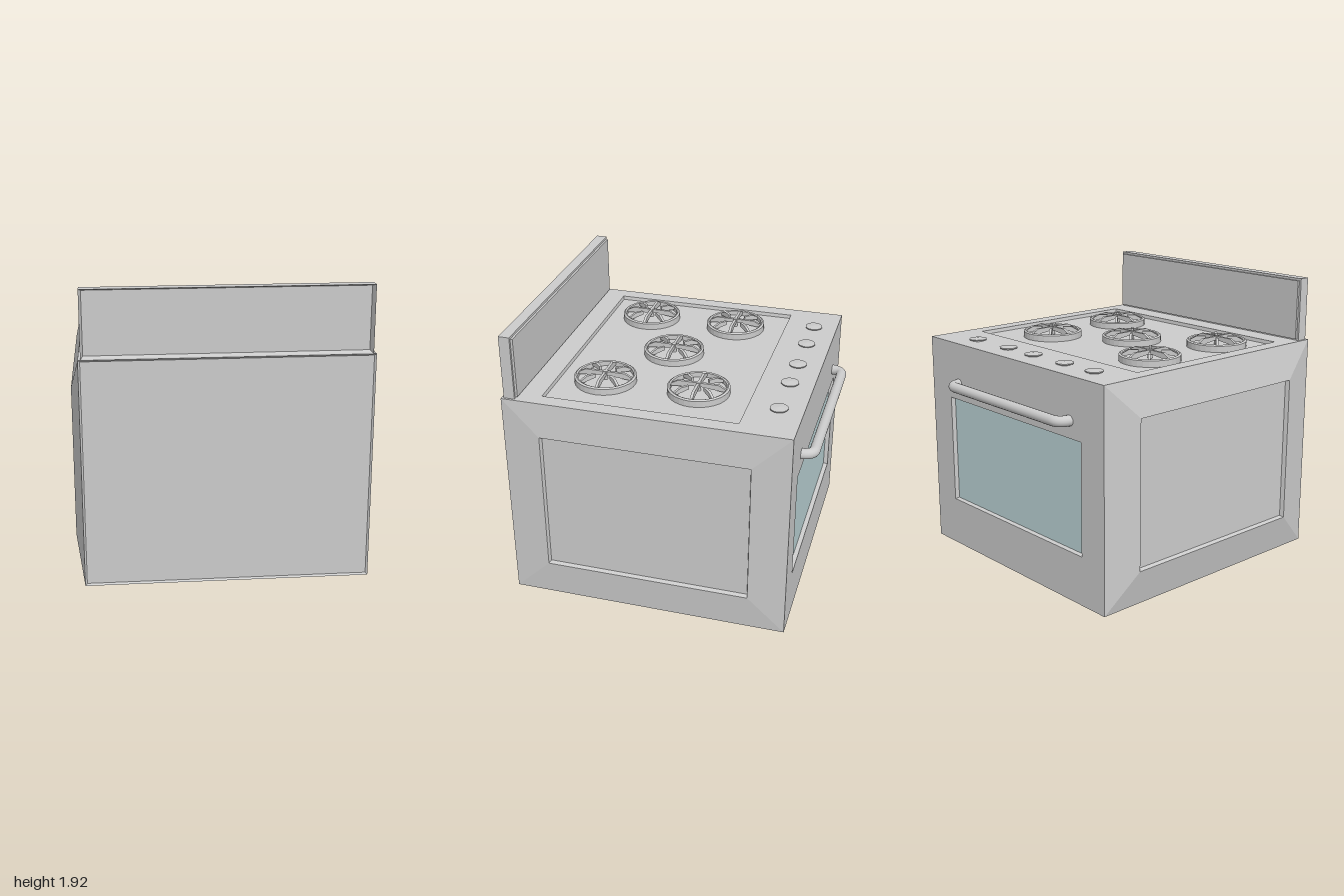
import * as THREE from 'three';
import { mergeGeometries } from 'three/addons/utils/BufferGeometryUtils.js';

const grey = new THREE.MeshStandardMaterial({ color: 0xcccccc });
const flat = new THREE.MeshStandardMaterial({ color: 0xcccccc, flatShading: true });
const glass = new THREE.MeshStandardMaterial({ color: 0xbcd4d6 });

// Body limits
const X0 = -0.9, X1 = 0.93, H = 1.49, Z0 = -0.89, Z1 = 1;

// Maps (across, up, outward) to xyz for each side, as seen from outside
const sides = {
  left: (a, b, d) => [d, b, -a],
  right: (a, b, d) => [-d, b, a],
  front: (a, b, d) => [-a, b, -d],
  back: (a, b, d) => [a, b, d],
  top: (a, b, d) => [a, d, -b],
  bottom: (a, b, d) => [a, -d, b],
};

// Joins rectangles [a0, b0, a1, b1, depth] in order and caps the last one
function loft(map, rects, cap = true) {
  const loops = rects.map(([a0, b0, a1, b1, d]) =>
    [[a0, b0], [a1, b0], [a1, b1], [a0, b1]].map(([a, b]) => map(a, b, d)));
  const pos = [];
  const quad = (p, q, r, s) => pos.push(...p, ...q, ...r, ...p, ...r, ...s);
  for (let k = 0; k + 1 < loops.length; k++) {
    for (let i = 0; i < 4; i++) {
      const j = (i + 1) % 4;
      quad(loops[k][i], loops[k][j], loops[k + 1][j], loops[k + 1][i]);
    }
  }
  if (cap) quad(...loops[loops.length - 1]);
  const g = new THREE.BufferGeometry();
  g.setAttribute('position', new THREE.Float32BufferAttribute(pos, 3));
  g.computeVertexNormals();
  return g;
}

const inset = ([a0, b0, a1, b1], m, d) => [a0 + m, b0 + m, a1 - m, b1 - m, d];

function add(parent, name, geometry, material = grey) {
  const mesh = new THREE.Mesh(geometry, material);
  mesh.name = name;
  parent.add(mesh);
  return mesh;
}

function makeBody(group) {
  const sidePanel = (a0, a1, d) => {
    const r = [a0, 0.25, a1, 1.25, d];
    return [r, inset(r, 0.008, d - 0.03)];
  };
  const back = [X0, 0, X1, H, Z1];
  const hob = [-0.8, -0.76, 0.83, 0.53, H];
  const win = [-0.715, 0.335, 0.685, 1.09, -Z0];
  const pane = inset(win, 0.005, -Z0 - 0.03);
  add(group, 'body', mergeGeometries([
    loft(sides.left, [[-Z1, 0, -Z0, H, X1], ...sidePanel(-0.75, 0.64, 0.95)]),
    loft(sides.right, [[Z0, 0, Z1, H, -X0], ...sidePanel(-0.64, 0.75, 0.955)]),
    loft(sides.back, [back, inset(back, 0.012, Z1 - 0.012)]),
    loft(sides.top, [[X0, -Z1, X1, -Z0, H], hob, inset(hob, 0.004, H - 0.025)]),
    loft(sides.bottom, [[X0, Z0, X1, Z1, 0]]),
    loft(sides.front, [[-X1, 0, -X0, H, -Z0], win, pane], false),
  ]));
  add(group, 'ovenWindow', loft(sides.front, [pane]), glass);
}

// Upright panel with a hollow back and a thin raised front plate
function makeBacksplash(group) {
  const r = [-0.885, H - 0.005, 0.915, 1.92, 0.985];
  const m = [-0.915, H - 0.005, 0.885, 1.92, -0.985];
  add(group, 'backsplash', mergeGeometries([
    loft(sides.back, [r, inset(r, 0.015, 0.935)]),
    loft(sides.front, [m, inset(m, 0, -0.912), inset(m, 0.015, -0.912), inset(m, 0.015, -0.897)]),
  ]));
}

// Spoke from radius r0 to the ring, raised towards the middle
function spoke(r0, angle) {
  const w = 0.018;
  const s = new THREE.Shape([
    [r0, 0.045], [0.185, 0.025], [0.19, 0.04], [0.135, 0.07], [r0, 0.07],
  ].map(([x, y]) => new THREE.Vector2(x, y)));
  return new THREE.ExtrudeGeometry(s, { depth: w, bevelEnabled: false })
    .translate(0, 0, -w / 2).rotateY(angle);
}

function makeBurner(x, z) {
  const burner = new THREE.Group();
  burner.name = 'burner';
  const ring = [[0.183, 0.012], [0.183, 0.045], [0.193, 0.05], [0.205, 0.042], [0.205, 0]];
  add(burner, 'burnerRing', new THREE.LatheGeometry(
    ring.map((p) => new THREE.Vector2(...p)).reverse(), 32), flat);
  add(burner, 'burnerPan', new THREE.CylinderGeometry(0.185, 0.185, 0.012, 32).translate(0, 0.008, 0));
  const spokes = [];
  for (let i = 0; i < 8; i++) spokes.push(spoke(i % 2 ? 0.075 : 0.005, i * Math.PI / 4));
  add(burner, 'burnerGrate', mergeGeometries(spokes));
  add(burner, 'burnerCap', new THREE.CylinderGeometry(0.016, 0.016, 0.06, 12).translate(0, 0.043, 0));
  burner.position.set(x, H - 0.025, z);
  return burner;
}

export function createModel() {
  const group = new THREE.Group();
  group.name = 'stove';
  makeBody(group);
  makeBacksplash(group);

  // Five burners
  [[-0.54, -0.175], [0.465, -0.175], [-0.03, 0.135], [-0.54, 0.455], [0.475, 0.455]]
    .forEach(([x, z]) => group.add(makeBurner(x, z)));

  // Row of knobs: short stem, flared rim and low cone
  const knob = [[0.04, -0.005], [0.04, 0.006], [0.059, 0.008], [0.059, 0.015], [0, 0.021]];
  const knobGeometry = new THREE.LatheGeometry(knob.map((p) => new THREE.Vector2(...p)), 16);
  for (const x of [-0.63, -0.345, -0.025, 0.245, 0.595]) {
    add(group, 'knob', knobGeometry, flat).position.set(x, H, -0.73);
  }

  // Door handle: a bar with rounded bends into the front
  const path = new THREE.CurvePath();
  const V = (x, z) => new THREE.Vector3(x, 1.205, z);
  path.add(new THREE.LineCurve3(V(-0.58, -0.88), V(-0.575, -0.91)));
  path.add(new THREE.QuadraticBezierCurve3(V(-0.575, -0.91), V(-0.56, -0.965), V(-0.51, -0.965)));
  path.add(new THREE.LineCurve3(V(-0.51, -0.965), V(0.545, -0.965)));
  path.add(new THREE.QuadraticBezierCurve3(V(0.545, -0.965), V(0.595, -0.965), V(0.61, -0.91)));
  path.add(new THREE.LineCurve3(V(0.61, -0.91), V(0.615, -0.88)));
  add(group, 'doorHandle', new THREE.TubeGeometry(path, 120, 0.035, 16));

  return group;
}
